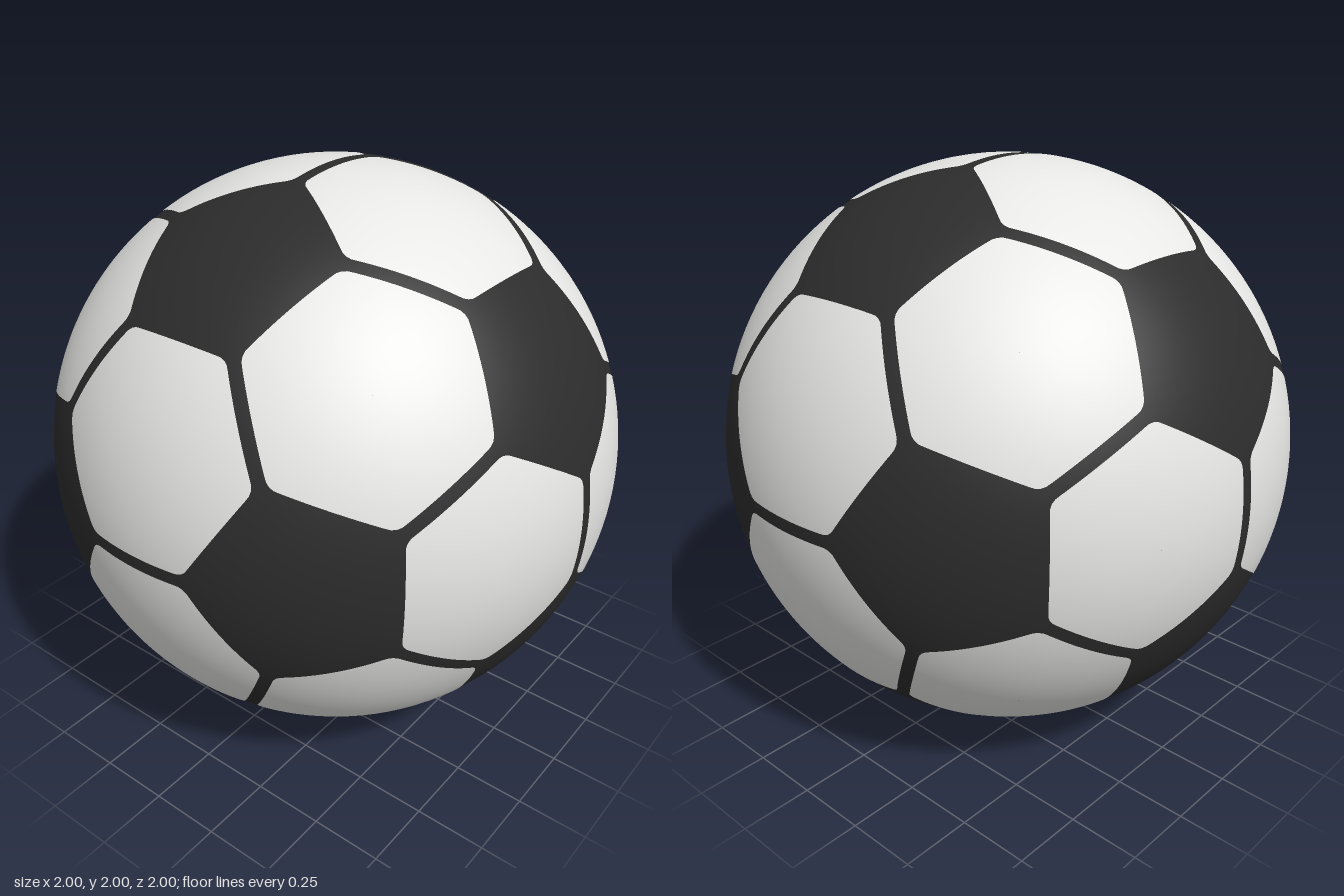
import * as THREE from 'three';

const white = new THREE.MeshStandardMaterial({ color: 0xf0f0ee });
white.name = 'panelWhite';
const black = new THREE.MeshStandardMaterial({ color: 0x2c2c2c });
black.name = 'baseBlack';

const APOTHEM = 0.357; // hexagon centre to side, on the plane touching the ball
const CORNER = 0.05;   // corner rounding

// Distance from the centre to the rim of a rounded hexagon at a given angle
function hexRadius(angle) {
  const step = Math.PI / 3;
  const t = Math.abs(angle - Math.round(angle / step) * step);
  const inner = APOTHEM - CORNER;
  if (APOTHEM * Math.tan(t) <= inner * Math.tan(step / 2)) return APOTHEM / Math.cos(t);
  const c = inner / Math.cos(step / 2);
  const d = step / 2 - t;
  return c * Math.cos(d) + Math.sqrt(CORNER ** 2 - (c * Math.sin(d)) ** 2);
}

// A hexagonal disc projected onto the unit sphere, centred on +z
function makePanelGeometry() {
  const geometry = new THREE.RingGeometry(0.001, 1, 144, 8);
  const pos = geometry.attributes.position;
  const normal = geometry.attributes.normal;
  const p = new THREE.Vector3();
  for (let i = 0; i < pos.count; i++) {
    p.fromBufferAttribute(pos, i);
    const s = hexRadius(Math.atan2(p.y, p.x));
    p.set(p.x * s, p.y * s, 1).normalize();
    pos.setXYZ(i, p.x, p.y, p.z);
    normal.setXYZ(i, p.x, p.y, p.z);
  }
  return geometry;
}

export function createModel() {
  const ball = new THREE.Group();
  ball.name = 'ball';
  ball.position.y = 1;

  // Dark ball: shows as the pentagons and the seams
  const base = new THREE.Mesh(new THREE.SphereGeometry(0.998, 128, 64), black);
  base.name = 'pentagonsAndSeams';
  ball.add(base);

  // One white hexagon on each face of an icosahedron
  const panelGeometry = makePanelGeometry();
  const corners = new THREE.IcosahedronGeometry(1, 0).attributes.position;
  for (let f = 0; f < 20; f++) {
    const [a, b, c] = [0, 1, 2].map((k) => new THREE.Vector3().fromBufferAttribute(corners, f * 3 + k));
    const z = a.clone().add(b).add(c).normalize();
    const x = a.clone().addScaledVector(z, -a.dot(z)).normalize();
    const y = new THREE.Vector3().crossVectors(z, x);
    const panel = new THREE.Mesh(panelGeometry, white);
    panel.name = `hexagonPanel${f + 1}`;
    panel.quaternion.setFromRotationMatrix(new THREE.Matrix4().makeBasis(x, y, z));
    ball.add(panel);
  }

  const model = new THREE.Group();
  model.name = 'football';
  model.add(ball);
  return model;
}
